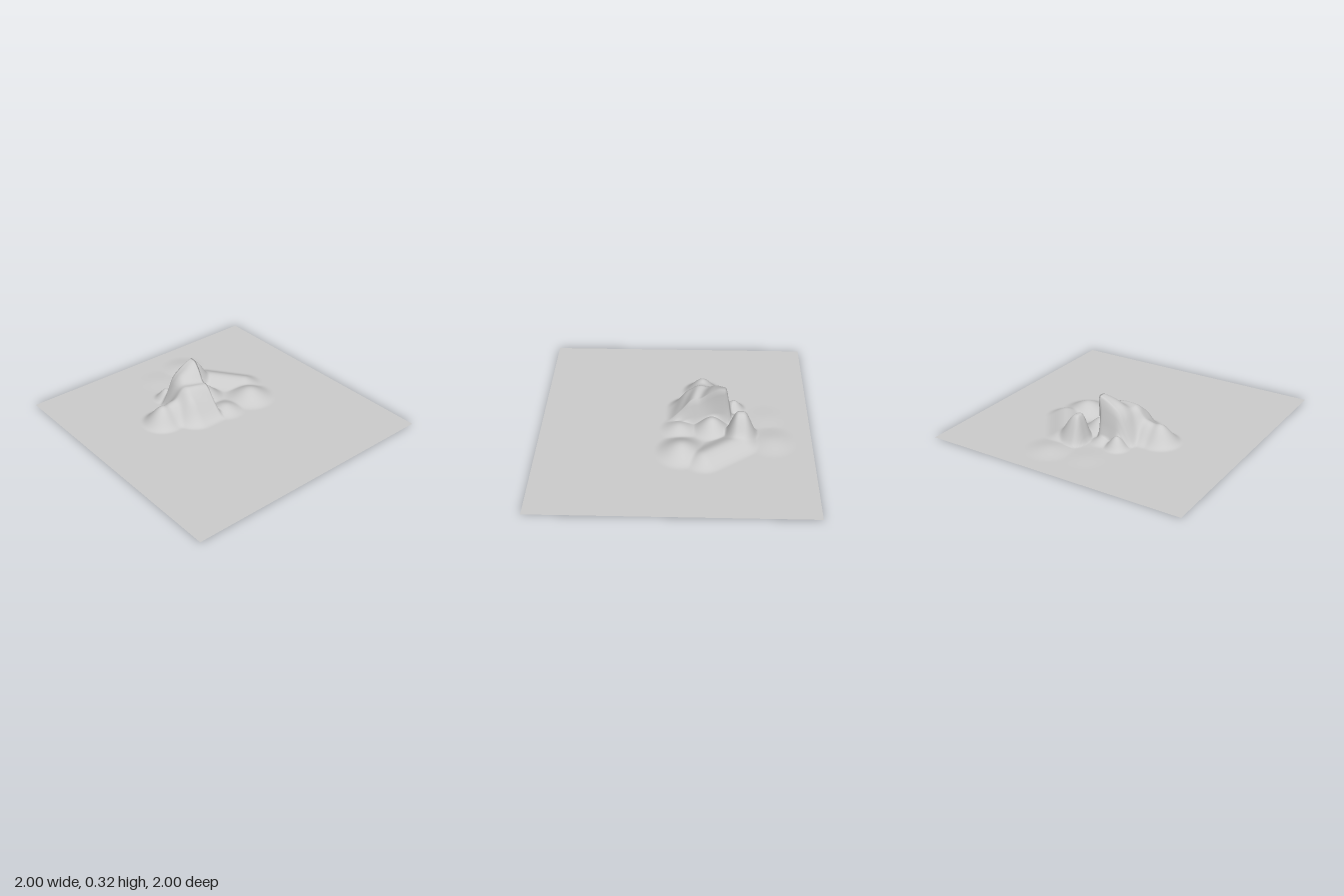
import * as THREE from 'three';

const { smoothstep, clamp } = THREE.MathUtils;
const fall = (d) => 1 - smoothstep(d, 0, 1);

// Flat core [x0..x1] x [z0..z1] that fades out over its own distance on each side
function mound(x, z, [x0, x1, z0, z1], [left, right, back, front]) {
  const dx = Math.max((x0 - x) / left, (x - x1) / right, 0);
  const dz = Math.max((z0 - z) / back, (z - z1) / front, 0);
  return fall(Math.hypot(dx, dz));
}

// Ridge of constant width along a line on the ground
function ridge(x, z, [ax, az], [bx, bz], width) {
  const ux = bx - ax, uz = bz - az;
  const t = clamp(((x - ax) * ux + (z - az) * uz) / (ux * ux + uz * uz), 0, 1);
  return fall(Math.hypot(x - ax - ux * t, z - az - uz * t) / width);
}

// Round hills: x, z, height, radius
const knolls = [
  [-0.2, 0.39, 0.13, 0.165],   // front foot
  [-0.2, 0.29, 0.13, 0.17],
  [-0.44, 0.18, 0.085, 0.1],   // side foot
  [-0.42, 0.05, 0.04, 0.1],
  [-0.05, -0.33, 0.075, 0.2],  // back knoll
  [-0.27, -0.06, 0.1, 0.16],   // saddle behind the cliff
  [-0.03, -0.07, 0.045, 0.15],
  [-0.71, -0.2, 0.02, 0.19],   // faint outer swells
  [-0.68, 0.08, 0.006, 0.17],
];

// Main crag: sloping top with a peak at the rear and a cliff behind it
function crag(x, z) {
  const zz = z > 0 ? z * (1 + 1.5 * Math.max(0, -0.2 - x)) : z;
  const body = mound(x, zz, [-0.37, -0.17, 0.025, 0.18], [0.06, 0.25, 0.04, 0.18]);
  const peak = mound(x, zz, [-0.36, -0.33, -0.05, 0.03], [0.08, 0.17, 0.1, 0.25]);
  const furrow = 0.007 * Math.sin(48 * x + 22 * z) * body;
  return body * (0.215 + 0.105 * peak) + furrow * (1 - peak);
}

function height(x, z) {
  const parts = [
    crag(x, z),
    0.2 * mound(x, z, [-0.5, -0.46, -0.12, -0.1], [0.12, 0.11, 0.17, 0.07]),
    0.06 * ridge(x, z, [-0.48, -0.22], [-0.22, -0.41], 0.16),
    ...knolls.map(([cx, cz, h, r]) => h * fall(Math.hypot(x - cx, z - cz) / r)),
  ];
  // Smooth maximum blends the hills into each other
  return Math.pow(parts.reduce((sum, h) => sum + Math.max(h, 0) ** 4, 0), 0.25);
}

export function createModel() {
  const group = new THREE.Group();
  group.name = 'landscape';

  // Square ground sheet raised into hills
  const geometry = new THREE.PlaneGeometry(2, 2, 160, 160);
  geometry.rotateX(-Math.PI / 2);
  const p = geometry.attributes.position;
  for (let i = 0; i < p.count; i++) {
    const x = p.getX(i), z = p.getZ(i), y = height(x, z);
    // The peak leans back over its cliff
    p.setXYZ(i, x, y, z - 0.3 * Math.max(0, y - 0.2));
  }
  geometry.computeVertexNormals();

  const ground = new THREE.Mesh(
    geometry,
    new THREE.MeshStandardMaterial({ color: 0xcccccc, side: THREE.DoubleSide })
  );
  ground.name = 'terrain';
  group.add(ground);
  return group;
}
